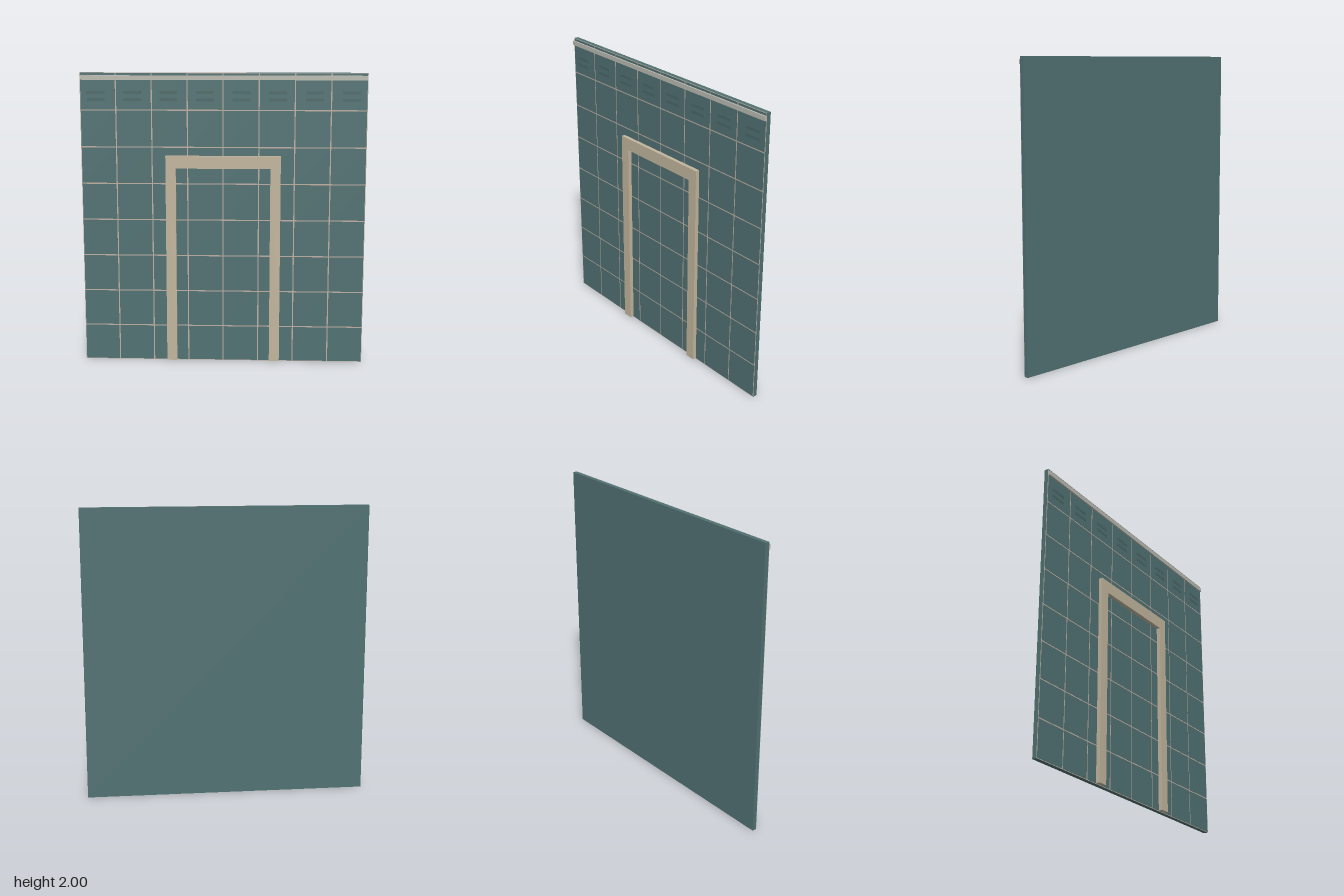
import * as THREE from 'three';

export function createModel() {
  const group = new THREE.Group();
  const mat = (name, color) => {
    const m = new THREE.MeshStandardMaterial({ color });
    m.name = name;
    return m;
  };
  const teal = mat('teal panel', 0x517172);
  const slotTeal = mat('slot teal', 0x4b6867);
  const seam = mat('seam', 0xbdafa3);
  const tan = mat('tan trim', 0xc2b59d);
  const grey = mat('grey rail', 0xb9bab1);

  // Box given by its low and high corners
  const box = (name, material, [x0, y0, z0], [x1, y1, z1], parent = group) => {
    const mesh = new THREE.Mesh(new THREE.BoxGeometry(x1 - x0, y1 - y0, z1 - z0), material);
    mesh.position.set((x0 + x1) / 2, (y0 + y1) / 2, (z0 + z1) / 2);
    mesh.name = name;
    parent.add(mesh);
    return mesh;
  };

  const W = 0.965, H = 2, N = 8, GAP = 0.004;
  const dx = 2 * W / N, dy = H / N;

  // Backing slab with the seam layer over it
  box('backSlab', teal, [-W, 0, -0.03], [W, H, 0]);
  box('seamLayer', seam, [-W, 0, 0], [W, H, 0.002]);

  // Grid of face panels, standing just proud of the seams
  const panels = new THREE.Group();
  panels.name = 'facePanels';
  group.add(panels);
  for (let i = 0; i < N; i++) {
    for (let j = 0; j < N; j++) {
      const x = -W + i * dx, y = j * dy;
      box('facePanel', teal, [x + GAP, y + GAP, 0.001], [x + dx - GAP, y + dy - GAP, 0.003], panels);
    }
  }

  // Two vent slots in each panel of the top row
  const vents = new THREE.Group();
  vents.name = 'ventSlots';
  group.add(vents);
  for (let i = 0; i < N; i++) {
    const x = (i - 3.5) * 0.245;
    for (const y of [1.82, 1.868]) {
      box('ventSlot', slotTeal, [x - 0.06, y - 0.01, 0.002], [x + 0.06, y + 0.01, 0.005], vents);
    }
  }

  // Rail along the top
  box('topRail', grey, [-W + 0.002, 1.952, 0.001], [W - 0.002, 1.982, 0.014]);

  // Door surround, one extruded arch
  const arch = new THREE.Shape();
  [[-0.39, 0.005], [-0.32, 0.005], [-0.32, 1.358], [0.32, 1.358], [0.32, 0.005],
    [0.39, 0.005], [0.39, 1.443], [-0.39, 1.443]]
    .forEach(([x, y], i) => (i ? arch.lineTo(x, y) : arch.moveTo(x, y)));
  const surround = new THREE.Mesh(
    new THREE.ExtrudeGeometry(arch, { depth: 0.03, bevelEnabled: false }), tan);
  surround.name = 'doorSurround';
  group.add(surround);

  return group;
}
